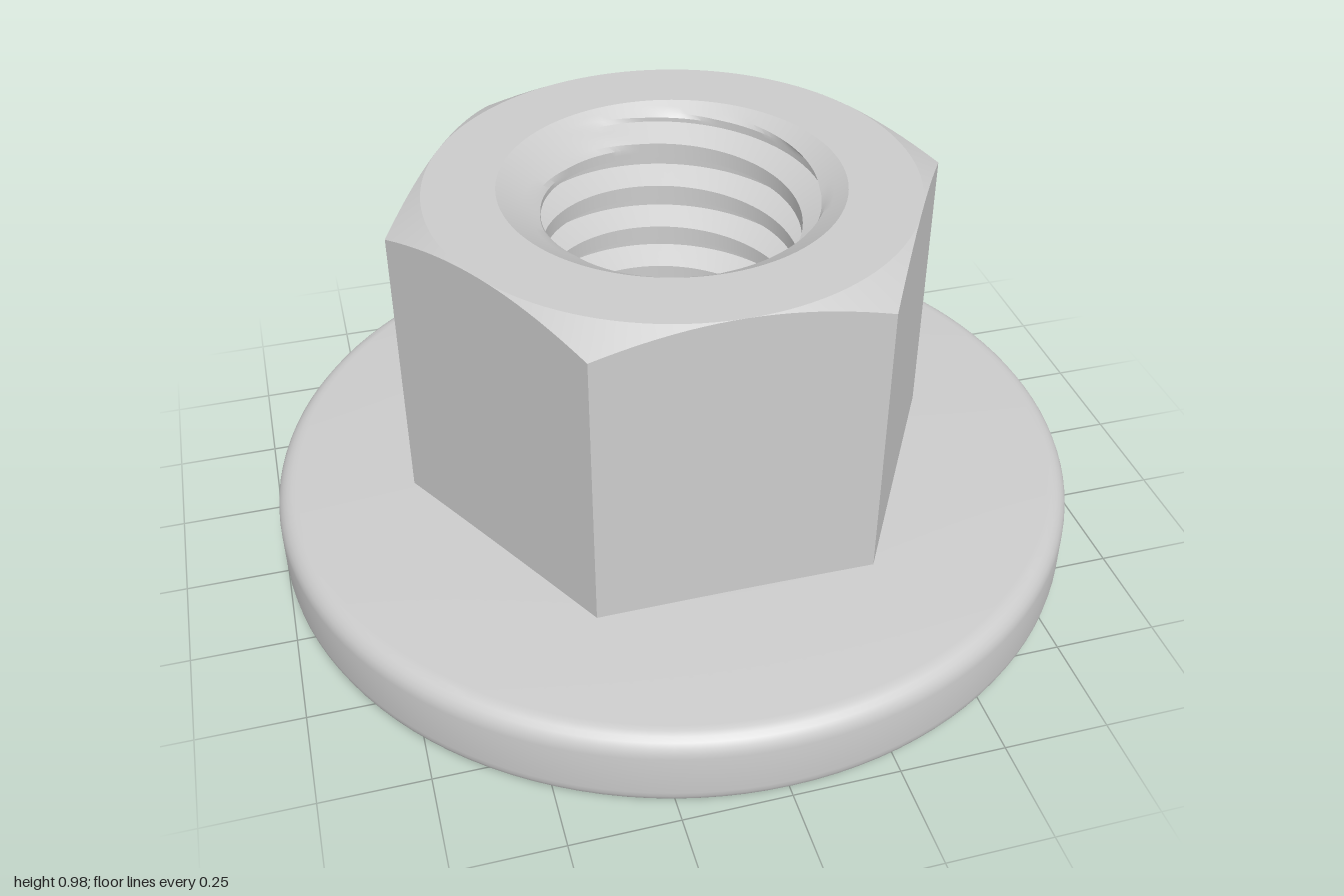
import * as THREE from 'three';
import { toCreasedNormals } from 'three/addons/utils/BufferGeometryUtils.js';

const SEGMENTS = 120; // multiple of 6, so the hexagon corners fall on segments
const HEIGHT = 0.975;
const MINOR = 0.305, MAJOR = 0.365, SINK = 0.405;
const PITCH = 0.12;
const APOTHEM = 0.575;

const material = new THREE.MeshStandardMaterial({ color: 0xcccccc });

// Skins a list of rings; each ring maps an angle to [radius, height].
function skin(name, rings) {
  const point = (ring, j) => {
    const t = (j / SEGMENTS) * Math.PI * 2;
    const [r, y] = ring(t);
    return new THREE.Vector3(r * Math.cos(t), y, -r * Math.sin(t));
  };
  const grid = rings.map(ring => Array.from({ length: SEGMENTS + 1 }, (_, j) => point(ring, j)));
  const positions = [];
  const triangle = (a, b, c) => {
    if (new THREE.Triangle(a, b, c).getArea() < 1e-9) return;
    for (const p of [a, b, c]) positions.push(p.x, p.y, p.z);
  };
  for (let i = 0; i < grid.length - 1; i++) {
    for (let j = 0; j < SEGMENTS; j++) {
      const a = grid[i][j], b = grid[i][j + 1], c = grid[i + 1][j], d = grid[i + 1][j + 1];
      triangle(a, b, c);
      triangle(b, d, c);
    }
  }
  const geometry = new THREE.BufferGeometry();
  geometry.setAttribute('position', new THREE.Float32BufferAttribute(positions, 3));
  const mesh = new THREE.Mesh(toCreasedNormals(geometry, 0.4), material);
  mesh.name = name;
  return mesh;
}

const circle = (r, y) => () => [r, y];

// Round flange with softened rims and a slightly sloped top
function flange() {
  const rings = [circle(SINK, 0)];
  const fillet = (cy, start) => {
    for (let i = 0; i <= 6; i++) {
      const a = start + (i / 6) * Math.PI / 2;
      rings.push(circle(0.95 + 0.05 * Math.cos(a), cy + 0.05 * Math.sin(a)));
    }
  };
  fillet(0.05, -Math.PI / 2);
  fillet(0.157, 0);
  rings.push(circle(0.55, 0.217));
  return skin('flange', rings);
}

// Hexagonal body whose corners are cut by a conical chamfer
function hexBody() {
  const hexRadius = t => {
    const a = (t % (Math.PI / 3)) - Math.PI / 6;
    return APOTHEM / Math.cos(a);
  };
  return skin('hexBody', [
    t => [hexRadius(t), 0.2],
    t => [hexRadius(t), HEIGHT - (hexRadius(t) - APOTHEM) * 0.56],
    circle(APOTHEM, HEIGHT),
    circle(SINK, HEIGHT),
  ]);
}

// Right-handed internal thread, opened by a countersink at both ends
function threadedBore() {
  const phases = [0, 0.11, 0.22, 0.33, 0.42, 0.5, 0.58, 0.67, 0.75, 0.83, 0.92];
  const threadRadius = p => {
    if (p <= 0.33) return MINOR;
    if (p < 0.58) return THREE.MathUtils.mapLinear(p, 0.33, 0.58, MINOR, MAJOR);
    if (p <= 0.75) return MAJOR;
    return THREE.MathUtils.mapLinear(p, 0.75, 1, MAJOR, MINOR);
  };
  const rings = [];
  for (let turn = -1; turn <= Math.ceil(HEIGHT / PITCH); turn++) {
    for (const p of phases) {
      rings.push(t => {
        const y = THREE.MathUtils.clamp(PITCH * (turn + p + t / (Math.PI * 2)), 0, HEIGHT);
        const cone = SINK - Math.min(y, HEIGHT - y) / 0.65;
        return [Math.max(threadRadius(p), cone), y];
      });
    }
  }
  return skin('threadedBore', rings.reverse());
}

export function createModel() {
  const group = new THREE.Group();
  group.name = 'flangeNut';
  group.add(flange(), hexBody(), threadedBore());
  return group;
}
